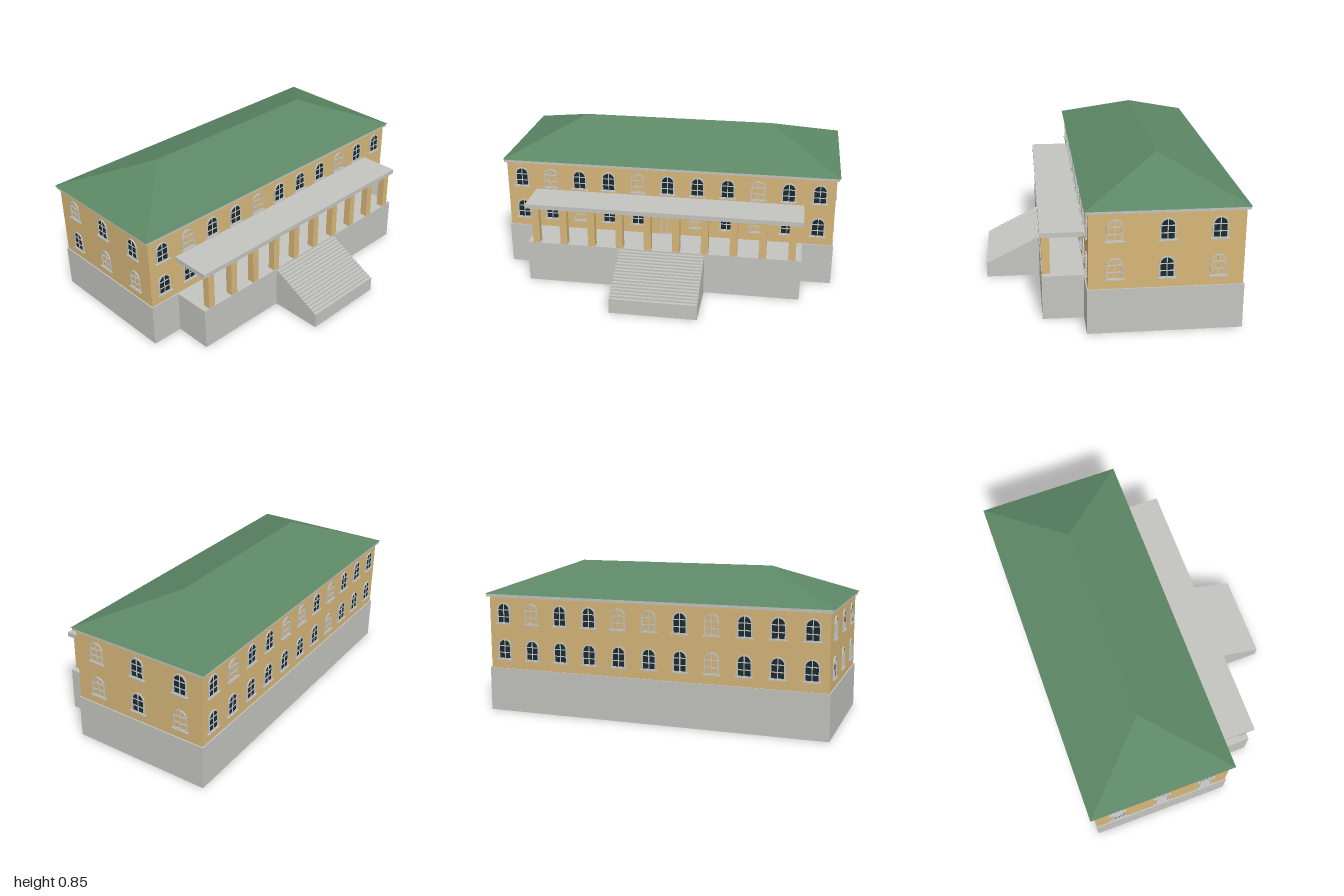
import * as THREE from 'three';

const mat = (name, color) => {
  const m = new THREE.MeshStandardMaterial({ color });
  m.name = name;
  return m;
};

export function createModel() {
  const model = new THREE.Group();
  model.name = 'villa';
  const stone = mat('stone', 0xc3c3bf);
  const plaster = mat('plaster', 0xd6b679);
  const roofGreen = mat('roof green', 0x5c8765);
  const glass = mat('dark glass', 0x1b2a2e);
  const frameGrey = mat('frame grey', 0xc4c6c5);
  const openStone = mat('open stone', 0xc3c3bf);
  openStone.side = THREE.DoubleSide;

  const add = (name, geo, material, parent = model) => {
    const mesh = new THREE.Mesh(geo, material);
    mesh.name = name;
    parent.add(mesh);
    return mesh;
  };
  // box given by its limits on each axis
  const span = (x0, x1, y0, y1, z0, z1) =>
    new THREE.BoxGeometry(x1 - x0, y1 - y0, z1 - z0)
      .translate((x0 + x1) / 2, (y0 + y1) / 2, (z0 + z1) / 2);
  // leave out one box side (2 = top, 3 = bottom)
  const dropSide = (geo, side) => {
    const index = Array.from(geo.index.array);
    index.splice(side * 6, 6);
    geo.setIndex(index);
    geo.clearGroups();
    return geo;
  };

  // Hollow plinth and terrace, open underneath
  const midZ = -0.26;
  add('plinth', dropSide(span(-0.987, 0.987, 0, 0.25, -0.668, 0.15), 3), openStone);
  add('terrace', dropSide(span(-0.805, 0.805, 0, 0.25, 0.15, 0.373), 3), openStone);

  // Main block and cornice
  const wallX = 0.98, wallFront = 0.143, wallBack = -0.661;
  add('walls', span(-wallX, wallX, 0.25, 0.665, wallBack, wallFront), plaster);
  add('cornice', span(-0.994, 0.994, 0.663, 0.68, -0.677, 0.158), stone);

  // Hipped roof: box whose top is drawn in to the ridge
  const roof = dropSide(new THREE.BoxGeometry(2, 0.172, 0.845), 2);
  const p = roof.attributes.position;
  for (let i = 0; i < p.count; i++) {
    if (p.getY(i) > 0) p.setXYZ(i, Math.sign(p.getX(i)) * 0.575, p.getY(i), 0);
  }
  roof.computeVertexNormals();
  roof.translate(0, 0.68 + 0.086, midZ);
  add('roof', roof, roofGreen);

  // Portico canopy and ten square columns
  add('canopy', span(-0.805, 0.805, 0.47, 0.496, wallFront, 0.38), stone);
  for (let i = 0; i < 10; i++) {
    const x = -0.75 + (i * 1.5) / 9;
    add('column', span(x - 0.021, x + 0.021, 0.25, 0.47, 0.328, 0.371), plaster);
  }

  // Front stairs: stepped profile extruded across the width
  const steps = 16, rise = 0.01, run = (0.683 - 0.373) / steps;
  const profile = new THREE.Shape();
  profile.moveTo(0.373, 0);
  for (let i = 0; i < steps; i++) {
    const y = 0.24 - i * rise;
    profile.lineTo(0.373 + i * run, y);
    profile.lineTo(0.373 + (i + 1) * run, y);
  }
  profile.lineTo(0.683, 0);
  const stairs = new THREE.ExtrudeGeometry(profile, { depth: 0.5, bevelEnabled: false });
  stairs.rotateY(-Math.PI / 2).translate(0.25, 0, 0);
  add('stairs', stairs, stone);

  // Round-headed outline standing on y = 0
  const arch = (r, y0, spring, Kind) => {
    const s = new Kind();
    s.moveTo(-r, y0);
    s.lineTo(r, y0);
    s.lineTo(r, spring);
    s.absarc(0, spring, r, 0, Math.PI, false);
    s.lineTo(-r, y0);
    return s;
  };
  const frameGeo = (spring) => {
    const s = arch(0.041, 0, spring, THREE.Shape);
    s.holes.push(arch(0.034, 0.006, spring, THREE.Path));
    return new THREE.ExtrudeGeometry(s, { depth: 0.006, bevelEnabled: false, curveSegments: 10 });
  };
  const windowFrame = frameGeo(0.077);
  const doorFrame = frameGeo(0.132);
  const paneGeo = new THREE.ShapeGeometry(arch(0.036, 0.004, 0.077, THREE.Shape), 10)
    .translate(0, 0, 0.002);
  const sillGeo = span(-0.05, 0.05, -0.005, 0.001, 0, 0.011);
  const mullionGeo = span(-0.0025, 0.0025, 0.005, 0.112, 0, 0.005);
  const railGeo = span(-0.035, 0.035, -0.0025, 0.0025, 0, 0.005);

  const addWindow = (parent, x, y, dark) => {
    const w = new THREE.Group();
    w.name = 'window';
    w.position.set(x, y, 0);
    parent.add(w);
    add('windowFrame', windowFrame, frameGrey, w);
    if (dark) add('pane', paneGeo, glass, w);
    add('sill', sillGeo, frameGrey, w);
    add('mullion', mullionGeo, frameGrey, w);
    for (const h of [0.038, 0.077]) add('rail', railGeo, frameGrey, w).position.y = h;
  };

  // Facades: rows listed left to right seen from outside (D dark, L pale, O door)
  const facades = [
    { name: 'frontWindows', pos: [0, 0, wallFront], turn: 0, step: 0.178,
      rows: ['DDLDDOLDLDD', 'DLDDLDDDLDD'] },
    { name: 'backWindows', pos: [0, 0, wallBack], turn: Math.PI, step: 0.178,
      rows: ['DDDDDDDLDDD', 'DLDDLLDLDDD'] },
    { name: 'leftWindows', pos: [wallX, 0, midZ], turn: Math.PI / 2, step: 0.268,
      rows: ['LDL', 'LDD'] },
    { name: 'rightWindows', pos: [-wallX, 0, midZ], turn: -Math.PI / 2, step: 0.268,
      rows: ['DLL', 'LDD'] },
  ];
  for (const { name, pos, turn, step, rows } of facades) {
    const side = new THREE.Group();
    side.name = name;
    side.position.set(...pos);
    side.rotation.y = turn;
    model.add(side);
    rows.forEach((row, level) => {
      [...row].forEach((kind, i) => {
        const x = (i - (row.length - 1) / 2) * step;
        if (kind === 'O') {
          const door = new THREE.Group();
          door.name = 'door';
          door.position.set(x, 0.25, 0);
          side.add(door);
          add('doorFrame', doorFrame, frameGrey, door);
          add('doorSplit', span(-0.0025, 0.0025, 0.005, 0.135, 0, 0.005), frameGrey, door);
          add('doorRail', railGeo, frameGrey, door).position.y = 0.132;
        } else {
          addWindow(side, x, level ? 0.512 : 0.304, kind === 'D');
        }
      });
    });
  }
  return model;
}
